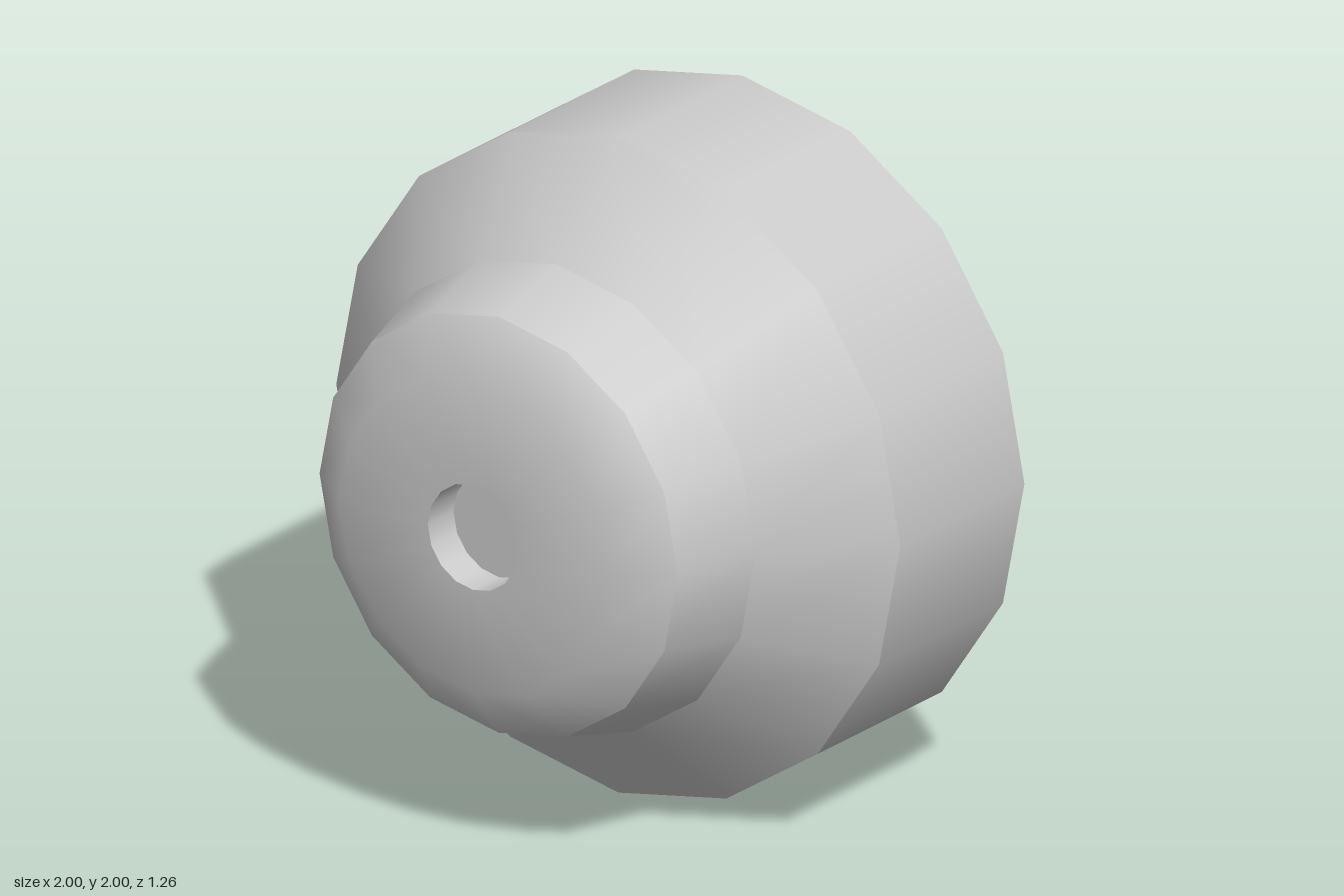
import * as THREE from 'three';

const SIDES = 16;

export function createModel() {
  const model = new THREE.Group();
  model.name = 'steppedHousing';
  const material = new THREE.MeshStandardMaterial({ color: 0xcccccc, side: THREE.DoubleSide });

  // Each section is a thin turned surface given as [radius, z]; edges stay sharp between sections
  const sections = {
    rearSleeve: [[1, -0.63], [1, -0.05]],
    shoulderCone: [[1, -0.05], [0.707, 0.24]],
    neckBand: [[0.707, 0.24], [0.635, 0.51]],
    frontDome: [[0.635, 0.51], [0.475, 0.63], [0.16, 0.63]],
    recessWall: [[0.16, 0.63], [0.16, 0.51]],
    recessFloor: [[0.16, 0.51], [0, 0.51]],
  };

  for (const [name, profile] of Object.entries(sections)) {
    const points = profile.map(([r, z]) => new THREE.Vector2(r, z));
    const geometry = new THREE.LatheGeometry(points, SIDES);
    geometry.rotateX(Math.PI / 2); // turn the lathe axis to face the front
    geometry.translate(0, 1, 0);
    const mesh = new THREE.Mesh(geometry, material);
    mesh.name = name;
    model.add(mesh);
  }
  return model;
}
